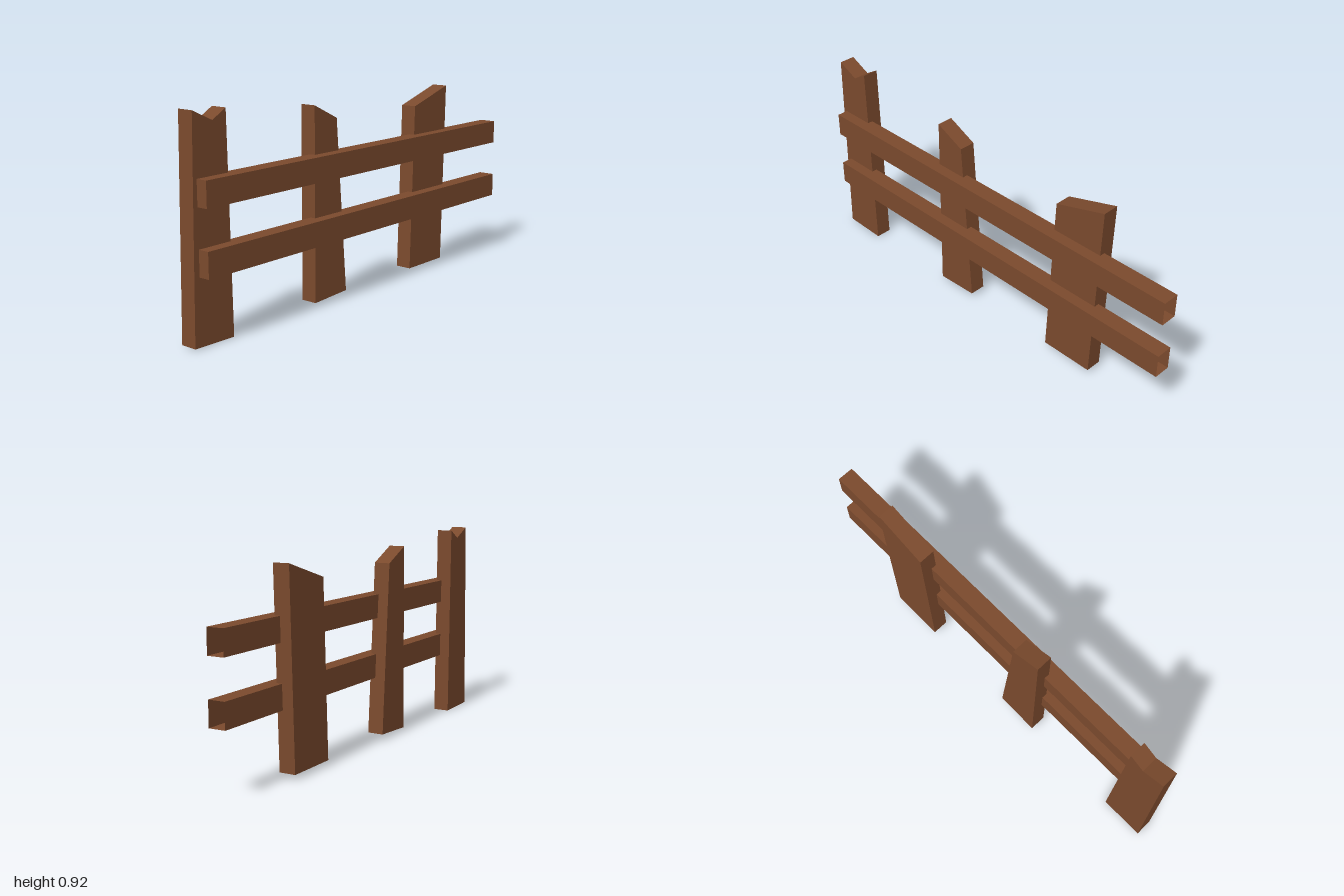
import * as THREE from 'three';

export function createModel() {
  const fence = new THREE.Group();
  fence.name = 'brokenFence';

  const wood = new THREE.MeshStandardMaterial({ color: 0x7b4a2d, side: THREE.DoubleSide });
  wood.name = 'brown wood';

  // Uneven, snapped-off planks: front outlines, counter-clockwise
  const postBack = -0.063, postFront = 0.012;
  const posts = {
    notchedPost: [[-1, 0.005], [-0.795, 0], [-0.81, 0.915], [-0.88, 0.875], [-0.98, 0.922]],
    taperedPost: [[-0.31, 0.018], [-0.107, 0.028], [-0.165, 0.805], [-0.305, 0.872]],
    slantedPost: [[0.364, 0.023], [0.615, 0.023], [0.643, 0.872], [0.395, 0.797]],
  };
  for (const [name, outline] of Object.entries(posts)) {
    const shape = new THREE.Shape(outline.map(([x, y]) => new THREE.Vector2(x, y)));
    const geometry = new THREE.ExtrudeGeometry(shape, {
      depth: postFront - postBack, bevelEnabled: false,
    });
    geometry.translate(0, 0, postBack);
    const post = new THREE.Mesh(geometry, wood);
    post.name = name;
    fence.add(post);
  }

  // Hollow rails, open at the +x end
  const left = -0.967, right = 1, back = -0.013, front = 0.063;
  for (const [name, bottom, top] of [['lowerRail', 0.283, 0.392], ['upperRail', 0.556, 0.664]]) {
    const geometry = new THREE.BoxGeometry(right - left, top - bottom, front - back);
    geometry.setIndex(Array.from(geometry.index.array).slice(6)); // drop the +x face
    geometry.clearGroups();
    const rail = new THREE.Mesh(geometry, wood);
    rail.position.set((left + right) / 2, (bottom + top) / 2, (back + front) / 2);
    rail.name = name;
    fence.add(rail);
  }

  return fence;
}
